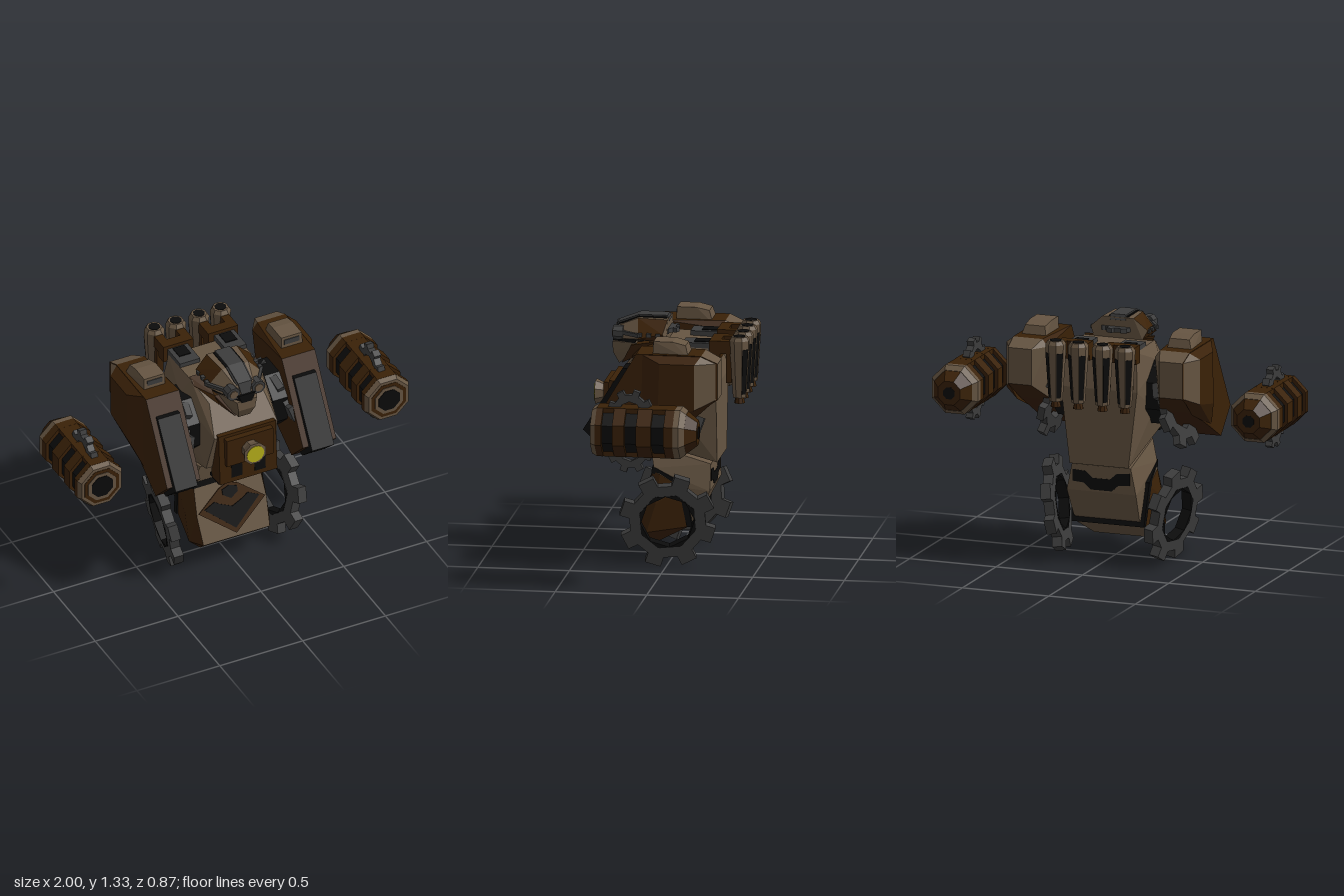
import * as THREE from 'three';
import { ConvexGeometry } from 'three/addons/geometries/ConvexGeometry.js';

const M = {};
const paint = (name, color) => {
  M[name] = new THREE.MeshStandardMaterial({ color });
  M[name].name = name;
};
paint('tan', 0x665542);
paint('brown', 0x3a2107);
paint('grey', 0x3c3c3c);
paint('black', 0x0b0b0b);
paint('yellow', 0xb8b01a);

export function createModel() {
  const root = new THREE.Group();
  root.name = 'mech';

  const add = (name, geo, mat, x = 0, y = 0, z = 0, parent = root) => {
    const mesh = new THREE.Mesh(geo, mat);
    mesh.name = name;
    mesh.position.set(x, y, z);
    parent.add(mesh);
    return mesh;
  };
  const facet = (geo) => {
    const g = geo.index ? geo.toNonIndexed() : geo;
    g.computeVertexNormals();
    return g;
  };
  const box = (name, mat, w, h, d, x, y, z, rx = 0, parent = root) => {
    const m = add(name, new THREE.BoxGeometry(w, h, d), mat, x, y, z, parent);
    m.rotation.x = rx;
    return m;
  };
  const hullGeo = (pts) => new ConvexGeometry(pts.map((p) => new THREE.Vector3(...p)));
  // Convex block symmetric about x = 0
  const block = (name, mat, half, second, rule) => {
    const geo = hullGeo(half.flatMap(([x, y, z]) => [[x, y, z], [-x, y, z]]));
    return add(name, geo, second ? split(geo, mat, second, rule) : mat);
  };
  // Gives triangles that satisfy a rule on their normal the second material
  const split = (geo, first, second, rule) => {
    const n = geo.attributes.normal;
    for (let i = 0; i < n.count; i += 3) {
      geo.addGroup(i, 3, rule(n.getX(i), n.getY(i), n.getZ(i)) ? 1 : 0);
    }
    return [first, second];
  };
  // Eight-sided turned part along z, profile as [radius, z]
  const turned = (pts) => {
    const g = new THREE.LatheGeometry(pts.map((p) => new THREE.Vector2(...p)), 8, Math.PI / 8);
    return facet(g.rotateX(Math.PI / 2));
  };
  // Toothed ring lying in the yz plane
  const gear = (tip, rim, hole, toothWidth, depth, teeth = 8, turn = 0.47) => {
    const shape = new THREE.Shape(), inner = new THREE.Path();
    for (let k = 0; k < teeth; k++) {
      const a = turn + (k * 2 * Math.PI) / teeth, c = Math.cos(a), s = Math.sin(a), w = toothWidth / 2;
      [[rim, -w], [tip, -w], [tip, w], [rim, w]].forEach(([r, t], i) => {
        shape[k || i ? 'lineTo' : 'moveTo'](r * c - t * s, r * s + t * c);
      });
      const b = a + Math.PI / teeth;
      inner[k ? 'lineTo' : 'moveTo'](hole * Math.cos(b), hole * Math.sin(b));
    }
    shape.holes.push(inner);
    const g = new THREE.ExtrudeGeometry(shape, { depth, bevelEnabled: false });
    return g.translate(0, 0, -depth / 2).rotateY(Math.PI / 2);
  };
  const plate = (name, mat, pts, x, y, z, rx, ry = 0) => {
    const s = new THREE.Shape(pts.map((p) => new THREE.Vector2(...p)));
    const m = add(name, new THREE.ExtrudeGeometry(s, { depth: 0.006, bevelEnabled: false }), mat, x, y, z);
    m.rotation.set(rx, ry, 0);
  };

  // Pelvis and waist
  block('pelvis', M.tan, [[0.2, 0.5, 0.09], [0.21, 0.34, 0.151], [0.2, 0.185, 0.21], [0.22, 0.49, 0.05], [0.243, 0.33, 0.07],
    [0.243, 0.17, 0.12], [0.165, 0.09, 0.1], [0.2, 0.2, -0.1], [0.22, 0.42, -0.07]], M.brown, (nx) => Math.abs(nx) > 0.42);
  block('waist', M.tan, [[0.17, 0.64, 0.11], [0.17, 0.545, -0.22], [0.205, 0.52, 0.085], [0.2, 0.4, -0.22],
    [0.19, 0.24, -0.14], [0.17, 0.14, 0.02], [0.205, 0.42, -0.05]]);
  block('waistBandFront', M.black, [[0.205, 0.53, 0.093], [0.205, 0.495, 0.099], [0.225, 0.44, -0.08], [0.225, 0.405, -0.06]]);
  block('waistBandSide', M.black, [[0.225, 0.44, -0.085], [0.225, 0.41, -0.055], [0.21, 0.2, -0.125], [0.21, 0.2, -0.095]]);
  plate('diamondPlate', M.brown, [[0, 0.145], [0.06, 0.12], [0.2, 0.01], [0, -0.15], [-0.2, 0.01], [-0.06, 0.12]], 0, 0.345, 0.152, -0.364);
  plate('diamondChevron', M.black, [[0.165, 0.025], [0.1, 0.055], [0.07, 0.035], [0, 0.005], [-0.07, 0.035], [-0.1, 0.055],
    [-0.165, 0.025], [0, -0.12]], 0, 0.347, 0.157, -0.364);
  plate('diamondTip', M.black, [[0, 0.125], [0.045, 0.11], [0.045, 0.08], [0, 0.05], [-0.045, 0.08], [-0.045, 0.11]], 0, 0.347, 0.157, -0.364);
  plate('rearStripe', M.black, [[-0.165, 0.045], [-0.09, 0.04], [-0.05, 0.005], [0.05, 0.005], [0.09, 0.04], [0.165, 0.045],
    [0.165, -0.02], [0.1, -0.025], [0.06, -0.06], [-0.06, -0.06], [-0.1, -0.025], [-0.165, -0.02]], 0, 0.47, -0.216, 0, Math.PI);

  // Torso
  block('torso', M.tan, [[0.17, 0.645, 0.08], [0.17, 0.555, -0.255], [0.21, 0.74, 0.26], [0.25, 1.1, 0.02],
    [0.24, 0.85, -0.05], [0.22, 0.98, -0.255], [0.2, 1.19, -0.21], [0.2, 1.2, 0.06], [0.16, 1.12, 0.2], [0.19, 0.97, 0.32]]);
  block('collar', M.brown, [[0.2, 1.21, 0.04], [0.2, 1.18, 0.09], [0.11, 1.11, 0.22], [0.11, 1.15, 0.2], [0.18, 1.17, 0.03]]);
  box('neck', M.black, 0.14, 0.14, 0.13, 0, 1.16, 0.14);
  box('chestBorder', M.black, 0.33, 0.02, 0.1, 0, 0.667, 0.27);
  box('chestPlate', M.brown, 0.345, 0.31, 0.1, 0, 0.83, 0.295, -0.06);
  box('chestPanel', M.brown, 0.28, 0.17, 0.05, 0, 0.885, 0.345);
  for (const s of [-1, 1]) {
    plate('chestWindow', M.black, [[-0.033, -0.05], [0.033, -0.05], [0.033, 0.035], [0.02, 0.05], [-0.02, 0.05], [-0.033, 0.035]],
      s * 0.07, 0.755, 0.345, -0.06);
  }
  add('lampHousing', turned([[0.052, 0.33], [0.052, 0.39], [0.07, 0.432], [0.054, 0.434], [0, 0.425]]), M.tan, 0, 0.885, 0);
  const lens = new THREE.CylinderGeometry(0.052, 0.052, 0.008, 16).rotateX(Math.PI / 2);
  add('lampLens', lens, M.yellow, 0, 0.885, 0.433);

  // Head
  block('skull', M.tan, [[0.14, 1.2, 0.03], [0.165, 1.25, 0.045], [0.09, 1.315, 0.028], [0.08, 1.317, 0.19],
    [0.165, 1.22, 0.18], [0.07, 1.2, 0.325], [0.055, 1.27, 0.3]], M.brown, (nx, ny, nz) => Math.abs(nx) > 0.55 && nz < 0.25);
  block('visor', M.black, [[0.15, 1.215, 0.19], [0.13, 1.19, 0.2], [0.05, 1.22, 0.335], [0.03, 1.17, 0.335]]);
  block('jawBase', M.brown, [[0.12, 1.2, 0.08], [0.11, 1.12, 0.18], [0.1, 1.1, 0.22], [0.05, 1.06, 0.285], [0.14, 1.18, 0.22]]);
  block('jaw', M.tan, [[0.13, 1.19, 0.19], [0.1, 1.13, 0.22], [0.035, 1.055, 0.3], [0.05, 1.12, 0.333], [0.06, 1.18, 0.333]]);
  block('crestBase', M.black, [[0.055, 1.3, 0.03], [0.055, 1.322, 0.04], [0.055, 1.322, 0.19], [0.05, 1.277, 0.302]]);
  block('crest', M.grey, [[0.045, 1.3, 0.025], [0.045, 1.33, 0.035], [0.045, 1.33, 0.19], [0.04, 1.285, 0.308], [0.025, 1.2, 0.33]]);
  const crown = add('crownGear', gear(0.11, 0.09, 0.05, 0.035, 0.025), M.grey, 0, 1.25, 0.085);
  crown.rotation.z = Math.PI / 2;
  for (const s of [-1, 1]) {
    add('goggleRim', turned([[0, 0.27], [0.04, 0.27], [0.04, 0.325], [0, 0.325]]), M.grey, s * 0.075, 1.235, 0);
    add('goggleLens', turned([[0, 0.32], [0.024, 0.32], [0.024, 0.33], [0, 0.33]]), M.tan, s * 0.075, 1.235, 0);
    const band = box('headBand', M.grey, 0.016, 0.02, 0.15, s * 0.128, 1.24, 0.235);
    band.rotation.y = -s * 0.6;
    for (let i = 0; i < 3; i++) box('bandTooth', M.grey, 0.02, 0.02, 0.025, s * 0.16, 1.242, 0.07 + i * 0.05);
  }

  // Exhaust stacks with manifolds and vents
  const stack = facet(new THREE.LatheGeometry([[0, 0.925], [0.037, 0.93], [0.055, 1.2], [0.056, 1.245],
    [0.044, 1.265], [0, 1.265]].map((p) => new THREE.Vector2(...p)), 8, Math.PI / 8));
  const tip = facet(new THREE.CylinderGeometry(0.022, 0.03, 0.035, 8));
  const cap = facet(new THREE.CylinderGeometry(0.033, 0.033, 0.006, 8));
  const slotShape = new THREE.Shape([[-0.012, 0.95], [0.012, 0.95], [0.019, 1.2], [-0.019, 1.2]].map((p) => new THREE.Vector2(...p)));
  const slot = new THREE.ExtrudeGeometry(slotShape, { depth: 0.006, bevelEnabled: false });
  slot.translate(0, -0.95, 0).rotateX(0.0615).translate(0, 0.95, 0.032);
  for (const s of [-1, 1]) {
    for (const px of [0.07, 0.2]) {
      const x = s * px;
      add('exhaustStack', stack, M.tan, x, 0, -0.382);
      add('exhaustTip', tip, M.brown, x, 0.915, -0.382);
      add('exhaustCap', cap, M.black, x, 1.264, -0.382);
      box('exhaustPipe', M.brown, 0.05, 0.07, 0.12, x, 1.205, -0.31);
      box('exhaustBracket', M.brown, 0.04, 0.22, 0.03, x, 1.12, -0.325);
      for (const d of [-1, 1]) add('exhaustSlot', slot, M.black, x, 0, -0.382).rotation.y = Math.PI + d * Math.PI / 4;
    }
    box('manifold', M.brown, 0.18, 0.1, 0.06, s * 0.135, 1.19, -0.25);
    box('vent', M.grey, 0.12, 0.06, 0.15, s * 0.14, 1.19, -0.145);
    box('ventSlot', M.black, 0.07, 0.006, 0.08, s * 0.14, 1.222, -0.17);
  }

  const cannonGear = gear(0.122, 0.095, 0.06, 0.038, 0.04);
  const shoulderGear = gear(0.255, 0.205, 0.155, 0.085, 0.04);
  const legGear = gear(0.258, 0.203, 0.15, 0.088, 0.055);
  const lining = gear(0.158, 0.156, 0.146, 0.02, 0.059);
  for (const s of [-1, 1]) {
    // Shoulder pods: long sloping shell, raised front panel, bulged outer side and tan back
    const pair = (a, b, y, z) => [[s * a, y, z], [s * b, y, z]];
    const podGeo = hullGeo([...pair(0.31, 0.51, 0.79, 0.39), ...pair(0.31, 0.51, 0.65, 0.25), ...pair(0.31, 0.51, 1.22, 0.135),
      ...pair(0.34, 0.51, 1.22, -0.22), ...pair(0.31, 0.51, 1.18, -0.22), ...pair(0.37, 0.505, 1.18, -0.31),
      ...pair(0.37, 0.505, 0.98, -0.31), ...pair(0.31, 0.5, 0.87, -0.15)]);
    const isBack = (nx, ny, nz) => nz < -0.3 && ny > -0.6;
    add('shoulderPod', podGeo, split(podGeo, M.brown, M.tan, isBack));
    const bulge = hullGeo([[0.56, 1.18, -0.19], [0.56, 1.18, 0], [0.56, 0.89, 0.01], [0.56, 0.93, -0.19], [0.505, 1.22, 0.11],
      [0.505, 1, 0.11], [0.505, 0.74, 0.12], [0.505, 1.22, -0.22], [0.505, 0.86, -0.17], [0.505, 1.18, -0.3],
      [0.505, 0.98, -0.3]].map(([x, y, z]) => [s * x, y, z]));
    add('podBulge', bulge, split(bulge, M.brown, M.tan, isBack));
    add('podPanel', hullGeo([...pair(0.345, 0.478, 1.13, 0.215), ...pair(0.345, 0.478, 0.785, 0.43), ...pair(0.345, 0.478, 0.675, 0.31),
      ...pair(0.345, 0.478, 1.13, 0.15), ...pair(0.345, 0.478, 0.69, 0.25)]), M.black);
    add('podCap', hullGeo([...pair(0.35, 0.48, 1.2, 0.05), ...pair(0.35, 0.495, 1.2, -0.15), ...pair(0.36, 0.475, 1.268, -0.13),
      ...pair(0.352, 0.475, 1.285, 0.045), ...pair(0.352, 0.475, 1.285, -0.06)]), M.tan);
    box('podCapSlot', M.grey, 0.09, 0.03, 0.008, s * 0.413, 1.254, 0.046);
    const joint = facet(new THREE.CylinderGeometry(0.19, 0.19, 0.1, 8, 1).rotateY(Math.PI / 8).rotateZ(Math.PI / 2));
    add('shoulderJoint', joint, M.black, s * 0.27, 0.94, 0.03);
    // Leans inward at the top, its teeth showing under the pod
    const wheel = add('shoulderGear', shoulderGear, M.grey, s * 0.335, 0.875, 0.04);
    wheel.rotation.z = s * 0.29;

    // Floating forearm cannons
    const cannon = new THREE.Group();
    cannon.name = 'cannon';
    cannon.position.set(s * 0.866, 0.88, 0);
    root.add(cannon);
    const tube = (name, mat, pts) => add(name, turned(pts), mat, 0, 0, 0, cannon);
    tube('cannonCore', M.black, [[0, -0.15], [0.124, -0.15], [0.124, 0.28], [0, 0.28]]);
    for (const [a, b] of [[0.25, 0.285], [0.125, 0.19], [-0.02, 0.06], [-0.14, -0.09]]) {
      tube('cannonRib', M.brown, [[0.12, a], [0.145, a], [0.145, b], [0.12, b]]);
    }
    tube('muzzleRim', M.tan, [[0.12, 0.283], [0.145, 0.283], [0.13, 0.312], [0, 0.312]]);
    [['muzzleRing', 'brown', 0.112], ['muzzleLip', 'tan', 0.09], ['muzzleBore', 'black', 0.068]].forEach(([n, c, r], i) => {
      const z = 0.314 + i * 0.003;
      tube(n, M[c], [[r, 0.31], [r, z], [0, z]]);
    });
    tube('cannonTail', M.tan, [[0, -0.2], [0.12, -0.2], [0.145, -0.17], [0.145, -0.138], [0, -0.138]]);
    tube('cannonTailCone', M.brown, [[0, -0.26], [0.07, -0.26], [0.118, -0.2]]);
    tube('cannonTailPort', M.black, [[0, -0.263], [0.035, -0.263], [0.035, -0.259]]);
    for (const t of [-1, 1]) {
      box('cannonSpine', M.brown, 0.11, 0.035, 0.4, 0, t * 0.116, 0.08, 0, cannon);
      add('cannonGear', cannonGear, M.grey, 0, t * 0.105, 0.11, cannon);
    }

    // Gear legs, leaning outward at the top
    const leg = new THREE.Group();
    leg.name = 'gearLeg';
    leg.position.set(s * 0.335, 0.265, -0.01);
    leg.rotation.set(0, s * 0.16, -s * 0.15);
    root.add(leg);
    add('legGear', legGear, M.grey, 0, 0, 0, leg);
    add('legGearLining', lining, M.black, 0, 0, 0, leg);
  }
  return root;
}
